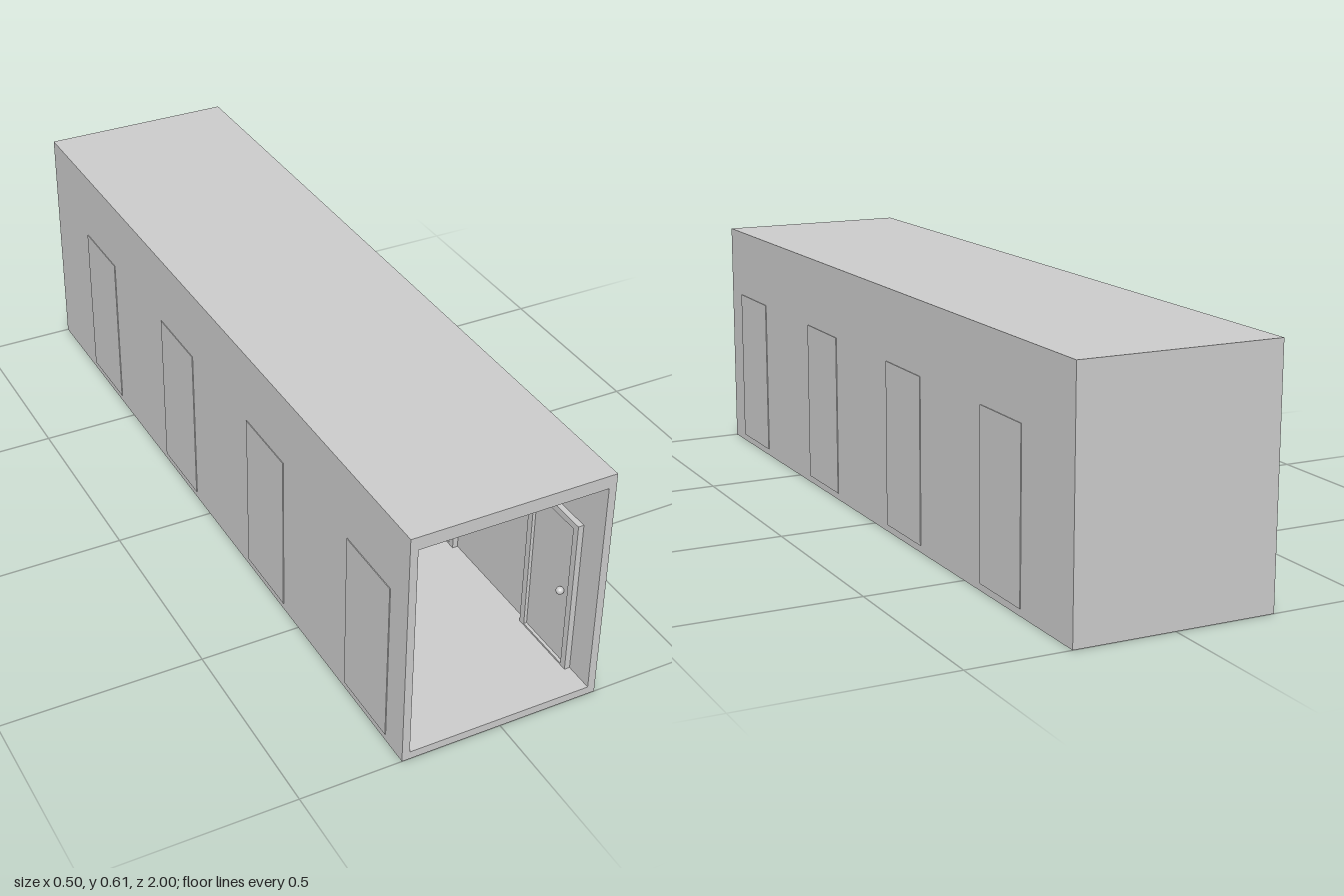
import * as THREE from 'three';

const W = 0.5, H = 0.61, WALL = 0.019;
const material = new THREE.MeshStandardMaterial({ color: 0xcccccc });

function rect(target, x0, y0, x1, y1) {
  target.moveTo(x0, y0);
  target.lineTo(x1, y0);
  target.lineTo(x1, y1);
  target.lineTo(x0, y1);
  target.closePath();
  return target;
}

function add(parent, name, geometry, x = 0, y = 0, z = 0) {
  const mesh = new THREE.Mesh(geometry, material);
  mesh.name = name;
  mesh.position.set(x, y, z);
  parent.add(mesh);
  return mesh;
}

// Rectangular ring extruded along z
function ring(outer, inner, depth) {
  const shape = rect(new THREE.Shape(), ...outer);
  shape.holes.push(rect(new THREE.Path(), ...inner));
  return new THREE.ExtrudeGeometry(shape, { depth, bevelEnabled: false });
}

// Door facing +z: base at y = 0, front of the frame at z = 0
function createDoor(name, depth) {
  const door = new THREE.Group();
  door.name = name;
  const frame = ring([-0.096, 0, 0.096, 0.412], [-0.078, 0.007, 0.078, 0.395], depth);
  add(door, 'doorFrame', frame, 0, 0, -depth);
  const recess = 0.008;
  add(door, 'doorPanel', new THREE.BoxGeometry(0.156, 0.388, depth - recess),
    0, 0.201, -(depth + recess) / 2);
  add(door, 'doorKnob', new THREE.SphereGeometry(0.0095, 24, 16), 0.05, 0.201, 0);
  return door;
}

export function createModel() {
  const corridor = new THREE.Group();
  corridor.name = 'corridor';

  // Floor, side walls and ceiling, open at the front
  const shell = ring([-W / 2, 0, W / 2, H], [-W / 2 + WALL, 0.02, W / 2 - WALL, 0.577], 2 - WALL);
  add(corridor, 'corridorShell', shell, 0, 0, -1 + WALL);
  add(corridor, 'backWall', new THREE.BoxGeometry(W, H, WALL), 0, H / 2, -1 + WALL / 2);

  // Four doors along each side, reaching just through the walls
  for (const side of [-1, 1]) {
    for (let i = 0; i < 4; i++) {
      const door = createDoor(side < 0 ? 'rightDoor' : 'leftDoor', 0.035);
      door.position.set(side * 0.217, 0.0175, 0.83 - i * 0.502);
      door.rotation.y = -side * Math.PI / 2;
      corridor.add(door);
    }
  }

  // End door with a plate above it
  const endDoor = createDoor('endDoor', 0.03);
  endDoor.position.set(0, 0.0205, -0.967);
  corridor.add(endDoor);
  add(corridor, 'wallPlate', new THREE.BoxGeometry(0.095, 0.05, 0.012), 0, 0.493, -1 + WALL + 0.005);

  return corridor;
}
